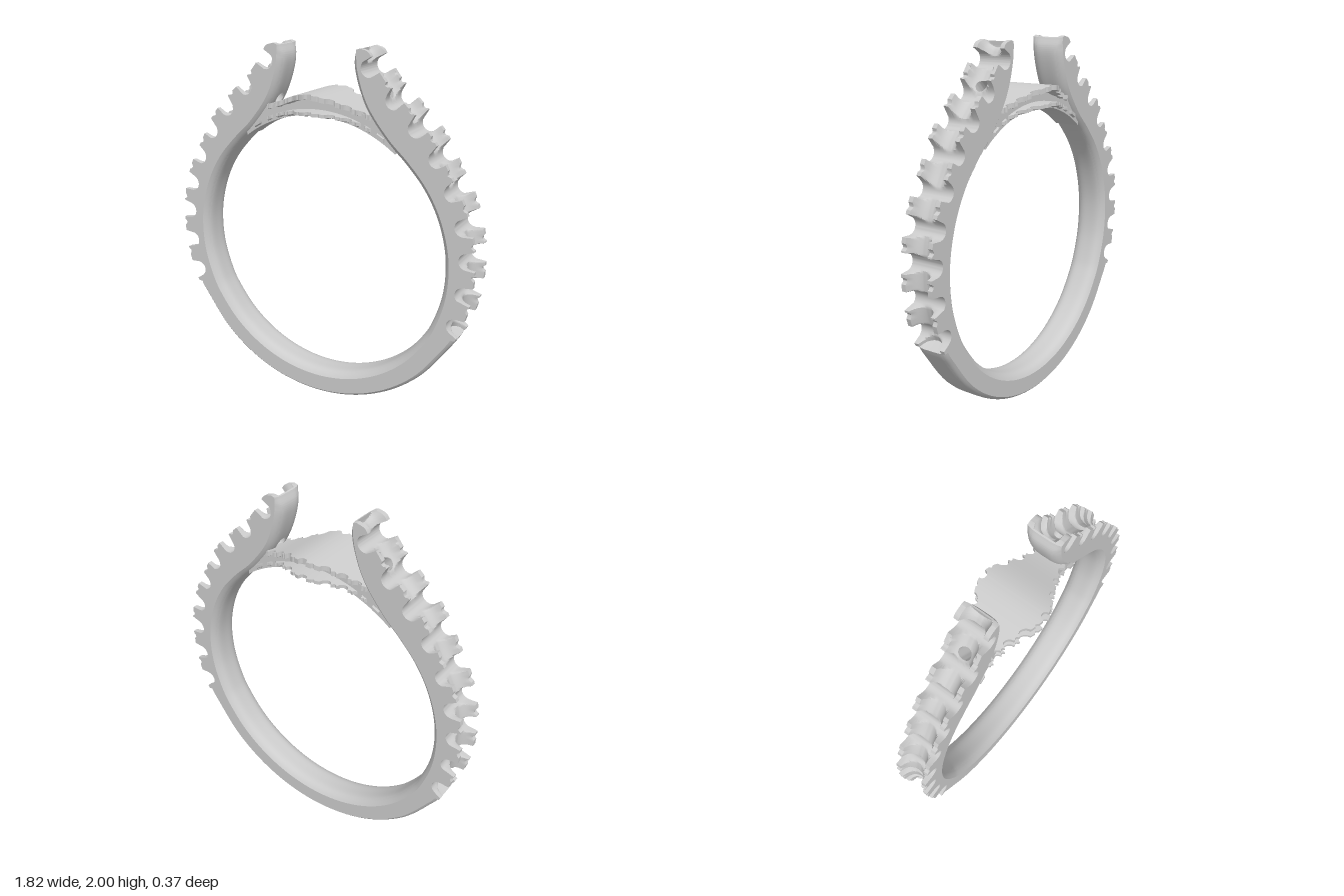
import * as THREE from 'three';
import { toCreasedNormals } from 'three/addons/utils/BufferGeometryUtils.js';

const CY = 0.89, R_IN = 0.742, R_OUT = 0.89, HALF_Z = 0.095;
const SEG = 20, ACROSS = 22;

// Closed solid between two sheets O(i,j) and I(i,j); holes are square index windows
function solid(nI, nJ, O, I, holes = []) {
  const pos = [];
  const grid = f => Array.from({ length: nI + 1 }, (_, i) => Array.from({ length: nJ + 1 }, (_, j) => f(i, j)));
  const o = grid(O), n = grid(I);
  const quad = (a, b, c, d) => { for (const p of [a, b, c, a, c, d]) pos.push(p.x, p.y, p.z); };
  const acrossWall = (i, flip, j0, j1) => {
    for (let j = j0; j < j1; j++) {
      const q = [o[i][j], n[i][j], n[i][j + 1], o[i][j + 1]];
      quad(...(flip ? q.reverse() : q));
    }
  };
  const alongWall = (j, flip, i0, i1) => {
    for (let i = i0; i < i1; i++) {
      const q = [o[i][j], o[i + 1][j], n[i + 1][j], n[i][j]];
      quad(...(flip ? q.reverse() : q));
    }
  };
  for (let i = 0; i < nI; i++) for (let j = 0; j < nJ; j++) {
    if (holes.some(h => i >= h.i - h.r && i < h.i + h.r && j >= h.j - h.r && j < h.j + h.r)) continue;
    quad(o[i][j], o[i + 1][j], o[i + 1][j + 1], o[i][j + 1]);
    quad(n[i][j], n[i][j + 1], n[i + 1][j + 1], n[i + 1][j]);
  }
  acrossWall(0, true, 0, nJ);
  acrossWall(nI, false, 0, nJ);
  alongWall(0, true, 0, nI);
  alongWall(nJ, false, 0, nI);
  for (const h of holes) {
    acrossWall(h.i - h.r, false, h.j - h.r, h.j + h.r);
    acrossWall(h.i + h.r, true, h.j - h.r, h.j + h.r);
    alongWall(h.j - h.r, false, h.i - h.r, h.i + h.r);
    alongWall(h.j + h.r, true, h.i - h.r, h.i + h.r);
  }
  const g = new THREE.BufferGeometry();
  g.setAttribute('position', new THREE.Float32BufferAttribute(pos, 3));
  return toCreasedNormals(g, 0.65);
}

// Paired stations of one side, bottom to tip: outer x, y, inner x, y
function sideStations() {
  const list = [];
  for (const deg of [0, 15, 30, 45, 60]) {
    const a = deg * Math.PI / 180, s = Math.sin(a), c = Math.cos(a);
    list.push([R_OUT * s, CY - R_OUT * c, R_IN * s, CY - R_IN * c]);
  }
  for (const [x, y] of [[0.825, 0.53], [0.89, 0.72], [0.91, 0.905], [0.9, 1.07], [0.845, 1.26], [0.755, 1.425]]) {
    const k = R_IN / Math.hypot(x, y - CY);
    list.push([x, y, x * k, CY + (y - CY) * k]);
  }
  list.push([0.66, 1.588, 0.509, 1.43], [0.54, 1.715, 0.4, 1.535], [0.41, 1.835, 0.275, 1.7],
    [0.33, 1.94, 0.212, 1.87], [0.3, 1.985, 0.206, 1.94], [0.255, 2.0, 0.225, 1.99]);
  return list;
}

// Round stone seats cut across the outside, and small nicks splitting each claw
const SEATS = [[0.823, 0.617], [0.86, 0.8], [0.87, 0.987], [0.84, 1.16], [0.776, 1.33],
  [0.686, 1.49], [0.57, 1.63], [0.445, 1.757], [0.306, 1.905]];

function bandGeometry() {
  const side = sideStations(), last = side.length - 1;
  const all = [...side.slice(1).reverse().map(([a, b, c, d]) => [-a, b, -c, d]), ...side];
  const curve = k => new THREE.CatmullRomCurve3(all.map(p => new THREE.Vector3(p[k], p[k + 1], 0)));
  const outer = curve(0), inner = curve(2);
  const nI = 2 * last * SEG;
  const cuts = [...SEATS.map(([x, y]) => [x, y, 0.046]),
    ...side.slice(6, 14).map(([x, y]) => [x, y, 0.014])];

  const point = (i, j, onOuter) => {
    const t = THREE.MathUtils.clamp(i / nI, 0, 1);
    const z = (j / ACROSS * 2 - 1) * HALF_Z, e = Math.abs(z / HALF_Z);
    const a = outer.getPoint(t), b = inner.getPoint(t);
    const dir = b.clone().sub(a), len = dir.length();
    dir.normalize();
    const station = Math.abs(i / SEG - last);
    let p;
    if (!onOuter) {
      // rounded comfort edge inside
      p = b.addScaledVector(dir, -Math.min(0.035, len * 0.3) * e ** 4);
    } else {
      let depth = 0.022 * e ** 6;
      if (station > 5) {
        depth = 0.068 * Math.sqrt(Math.max(0, 1 - (z / 0.066) ** 2));
        for (const [cx, cy, r] of cuts) {
          const dx = cx * Math.sign(a.x) - a.x, dy = cy - a.y;
          const along = dx * dir.x + dy * dir.y, off = r * r - (dx * dx + dy * dy - along * along);
          if (off > 0 && along > -r && along < 0.1) depth = Math.max(depth, along + Math.sqrt(off));
        }
        depth = Math.min(depth, len * 0.72);
      }
      p = a.addScaledVector(dir, depth);
    }
    p.z = z;
    return p;
  };

  // Round holes through both tips: the square window is warped to a circle
  const hi = Math.round((last + 12.0 + 0.85 + 0.1) * SEG);
  const holes = [hi, nI - hi].map(i => ({ i, j: ACROSS / 2, r: 4 }));
  const warped = onOuter => (i, j) => {
    for (const h of holes) {
      const a = i - h.i, b = j - h.j, c = Math.max(Math.abs(a), Math.abs(b));
      if (c > 0 && c < 9) {
        const k = THREE.MathUtils.lerp(c / Math.hypot(a, b), 1, THREE.MathUtils.clamp((c - h.r) / 5, 0, 1));
        return point(h.i + a * k, h.j + b * k, onOuter);
      }
    }
    return point(i, j, onOuter);
  };
  return solid(nI, ACROSS, warped(true), warped(false), holes);
}

// Bridge heights and the scalloped outline of its plates
const circleY = x => CY + Math.sqrt(R_IN * R_IN - x * x);
const crownY = x => 1.65 + 0.112 * Math.exp(-((x / 0.24) ** 2));
function plateHalfWidth(x) {
  const ax = Math.abs(x);
  let w = 0.09 + 0.098 * Math.exp(-((x / 0.17) ** 2));
  const bite = (c, half, depth) => {
    const q = 1 - ((ax - c) / half) ** 2;
    if (q > 0) w -= depth * Math.sqrt(q);
  };
  for (const c of [0, 0.115, 0.195, 0.265, 0.33]) bite(c, 0.024, 0.026);
  for (const c of [0.057, 0.155, 0.23, 0.3]) bite(c, 0.008, 0.008);
  return w;
}

function slab(xMax, nI, nJ, bottom, top, halfWidth) {
  const sheet = f => (i, j) => {
    const x = (i / nI * 2 - 1) * xMax, v = j / nJ * 2 - 1;
    return new THREE.Vector3(x, f(x, v), v * halfWidth(x));
  };
  return solid(nI, nJ, sheet(bottom), sheet(top), []);
}

export function createModel() {
  const group = new THREE.Group();
  const material = new THREE.MeshStandardMaterial({ color: 0xcccccc });
  const add = (name, geometry) => {
    const mesh = new THREE.Mesh(geometry, material);
    mesh.name = name;
    group.add(mesh);
  };
  add('bandWithClawArms', bandGeometry());
  // bridge between the arms
  add('bridgeCore', slab(0.45, 60, 2, x => circleY(x) + 0.004, x => crownY(x) - 0.01, () => 0.075));
  add('upperPlate', slab(0.36, 240, 8, (x, v) => crownY(x) - 0.038 + 0.012 * v * v, x => crownY(x), plateHalfWidth));
  add('lowerPlate', slab(0.39, 260, 8, (x, v) => circleY(x) + 0.02 * v * v, x => circleY(x) + 0.038, plateHalfWidth));
  return group;
}
